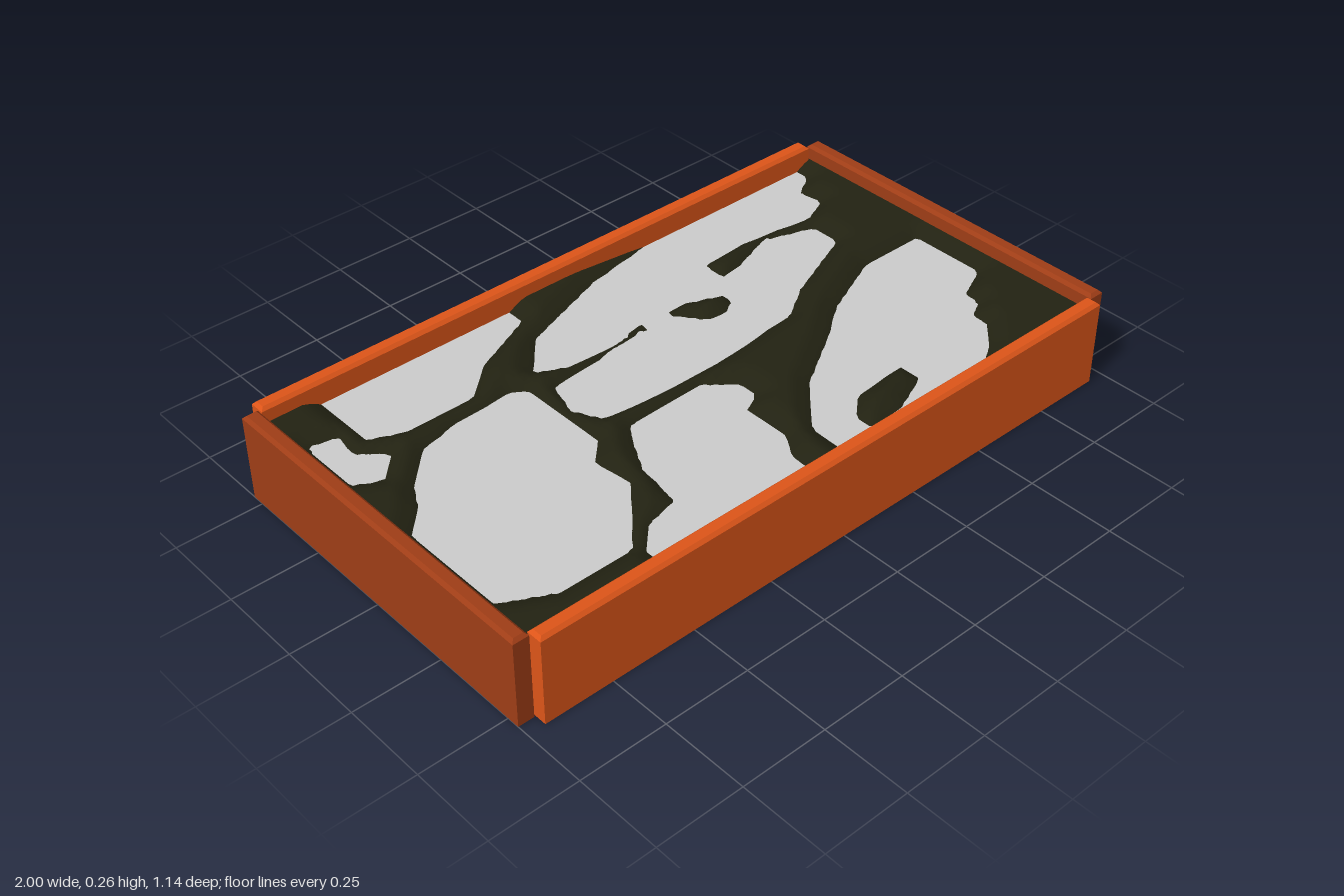
import * as THREE from 'three';

const WATER = 0.19, LAND = 0.025, DEPTH = 0.11;

// Pool outlines as x, z pairs
const topLeft = [-.78,-.62, -.78,-.33, -.69,-.29, -.48,-.29, -.38,-.38, -.18,-.47, -.18,-.62];
const small = [-.91,-.40, -.83,-.38, -.84,-.30, -.77,-.24, -.84,-.17, -.91,-.21];
const left = [-.70,-.20, -.80,-.10, -.84,-.03, -.91,.04, -.91,.35, -.78,.42, -.56,.42,
  -.41,.24, -.42,.12, -.36,.06, -.36,-.21, -.40,-.24, -.58,-.23];
const topRight = [-.30,-.27, -.20,-.38, .08,-.48, .35,-.53, .35,-.62, .90,-.62, .90,-.48, .82,-.43,
  .84,-.36, .75,-.32, .52,-.35, .36,-.34, .36,-.24, .30,-.20, .20,-.24, .14,-.24, .12,-.20,
  .05,-.20, .05,-.25, -.07,-.22, -.22,-.23];
const middle = [-.30,-.18, -.10,-.20, .03,-.22, .05,-.20, .13,-.22, .19,-.14, .25,-.13, .30,-.16,
  .30,-.25, .43,-.27, .57,-.32, .72,-.27, .72,-.18, .48,-.08, .37,-.01, .08,.02, -.09,.02,
  -.29,0, -.33,-.08];
const bottom = [-.29,.11, -.26,.07, -.02,.06, .06,.13, .06,.19, 0,.21, 0,.35, -.05,.43,
  -.06,.62, -.54,.62, -.54,.45, -.47,.38, -.37,.36, -.35,.22];
const right = [.90,-.04, .70,-.04, .49,.05, .38,.13, .20,.24, .07,.38, .06,.62, .54,.62, .54,.52,
  .66,.44, .73,.37, .73,.32, .79,.29, .79,.24, .90,.19];
const island = [.18,.42, .25,.36, .42,.35, .42,.42, .30,.47, .18,.48];
const pools = [topLeft, small, left, topRight, middle, bottom, right];

// Distance to an outline, positive inside it
function inside(p, x, z) {
  let best = Infinity, odd = false;
  for (let i = 0, j = p.length - 2; i < p.length; j = i, i += 2) {
    const ax = p[j], az = p[j + 1], ex = p[i] - ax, ez = p[i + 1] - az;
    const t = THREE.MathUtils.clamp(((x - ax) * ex + (z - az) * ez) / (ex * ex + ez * ez), 0, 1);
    best = Math.min(best, Math.hypot(x - ax - t * ex, z - az - t * ez));
    if ((az > z) !== (p[i + 1] > z) && x < ax + (z - az) * ex / ez) odd = !odd;
  }
  return odd ? best : -best;
}

// Low land around the pools, steep banks down to rounded beds
function groundHeight(x, z) {
  let d = Math.max(...pools.map((p) => inside(p, x, z)));
  d = Math.min(d, -inside(island, x, z));
  return d > 0
    ? WATER - DEPTH * Math.sin(Math.min(1, d / 0.16) * Math.PI / 2)
    : WATER + LAND * Math.min(1, -d / 0.05);
}

// Board along x with its top edges chamfered
function board(length, thickness, color) {
  const height = 0.26, c = 0.009;
  const geo = new THREE.BoxGeometry(length, height, thickness, 1, 2, 1).translate(0, height / 2, 0);
  const pos = geo.attributes.position;
  for (let i = 0; i < pos.count; i++) {
    const y = pos.getY(i);
    if (y > height * 0.75) {
      pos.setX(i, pos.getX(i) - Math.sign(pos.getX(i)) * c);
      pos.setZ(i, pos.getZ(i) - Math.sign(pos.getZ(i)) * c);
    } else if (y > height * 0.25) pos.setY(i, height - c);
  }
  return new THREE.Mesh(geo, new THREE.MeshStandardMaterial({ color, flatShading: true }));
}

export function createModel() {
  const model = new THREE.Group();

  // Frame: two long boards and two shorter, darker end boards
  for (const s of [1, -1]) {
    const long = board(1.9, 0.046, 0xdd5519);
    long.name = s > 0 ? 'frontBoard' : 'backBoard';
    long.position.z = s * 0.547;
    const end = board(1.072, 0.046, 0x9f3d16);
    end.name = s > 0 ? 'leftBoard' : 'rightBoard';
    end.rotation.y = Math.PI / 2;
    end.position.x = s * 0.977;
    model.add(long, end);
  }

  // Ground with sunken pool beds
  const ground = new THREE.PlaneGeometry(1.91, 1.06, 96, 54).rotateX(-Math.PI / 2);
  const pos = ground.attributes.position;
  for (let i = 0; i < pos.count; i++) pos.setY(i, groundHeight(pos.getX(i), pos.getZ(i)));
  ground.computeVertexNormals();
  const terrain = new THREE.Mesh(ground,
    new THREE.MeshStandardMaterial({ color: 0x222212, side: THREE.DoubleSide }));
  terrain.name = 'ground';

  // Flat water surface
  const water = new THREE.Mesh(new THREE.PlaneGeometry(1.91, 1.06).rotateX(-Math.PI / 2),
    new THREE.MeshStandardMaterial({ color: 0xcccccc, side: THREE.DoubleSide }));
  water.name = 'water';
  water.position.y = WATER;

  model.add(terrain, water);
  return model;
}
